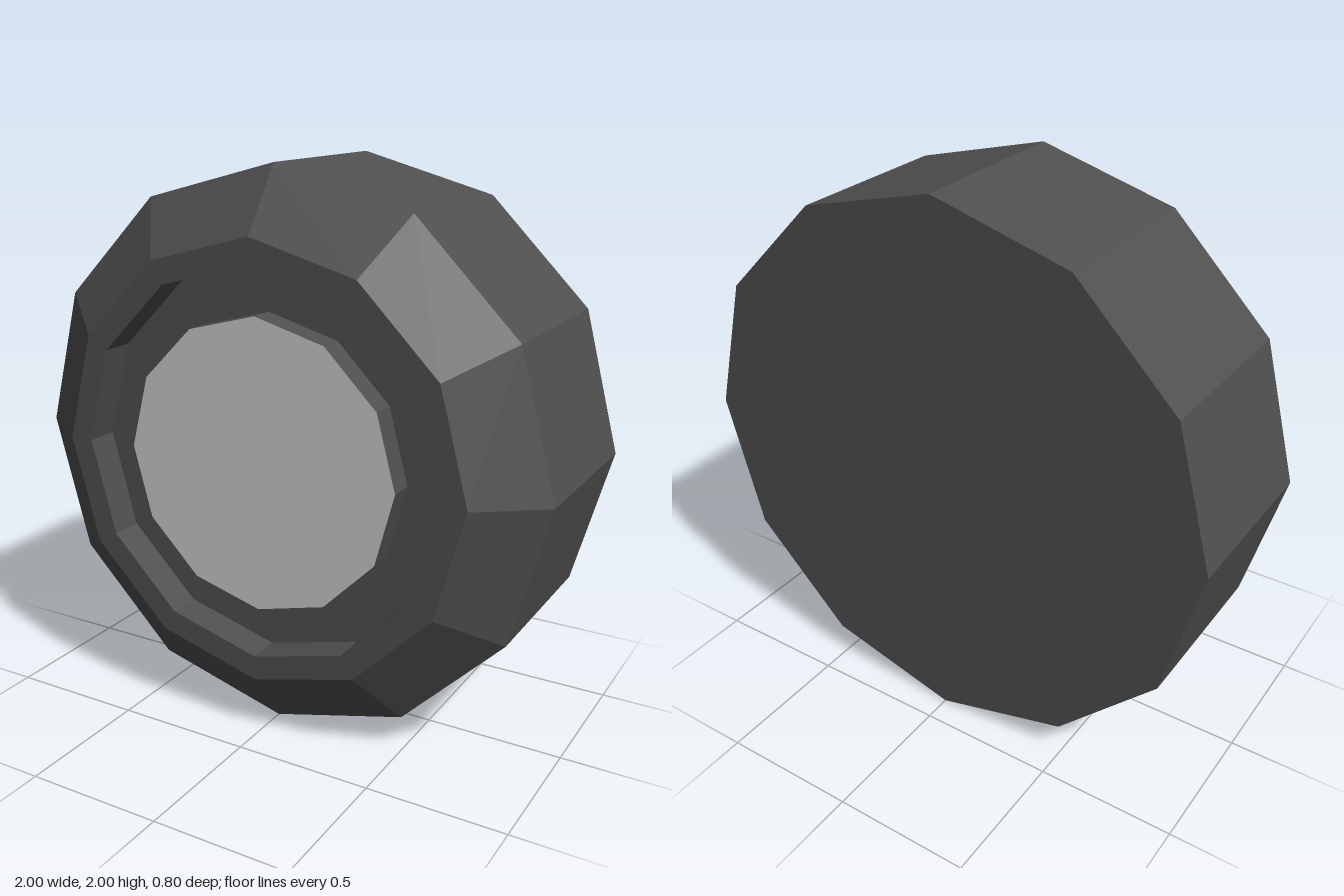
import * as THREE from 'three';

const SIDES = 12;

export function createModel() {
  const group = new THREE.Group();
  const rubber = new THREE.MeshStandardMaterial({ color: 0x4f4f4f, flatShading: true });
  const metal = new THREE.MeshStandardMaterial({ color: 0xcccccc, flatShading: true });

  // Turn a [radius, depth] profile around the wheel axis (z)
  const turned = (name, profile, material) => {
    const points = profile.map(([r, z]) => new THREE.Vector2(r, z));
    const mesh = new THREE.Mesh(new THREE.LatheGeometry(points, SIDES), material);
    mesh.name = name;
    mesh.rotation.x = Math.PI / 2;
    mesh.position.y = 1;
    group.add(mesh);
  };

  // Tyre: closed back, tread, bevelled shoulder, rim lip and recess
  turned('tyre', [
    [0, -0.4], [1, -0.4], [1, 0.24], [0.78, 0.4],
    [0.69, 0.4], [0.69, 0.28], [0.52, 0.28],
  ], rubber);

  // Hub: dark raised side with a light disc on the front
  turned('hubSide', [[0.52, 0.28], [0.52, 0.37]], rubber);
  turned('hubCap', [[0.52, 0.37], [0, 0.37]], metal);

  return group;
}
